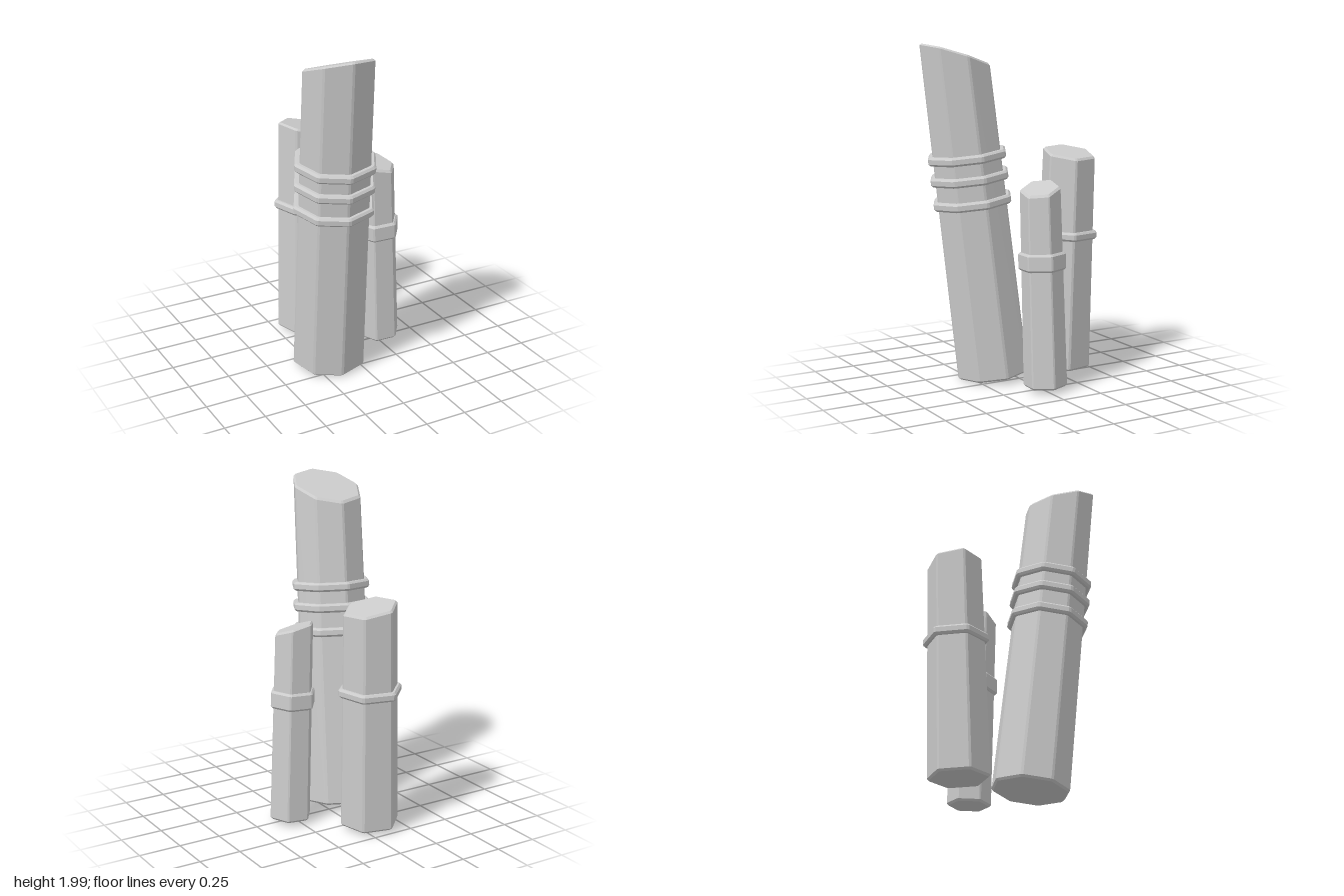
import * as THREE from 'three';

const material = new THREE.MeshStandardMaterial({ color: 0xcccccc, flatShading: true });

// Regular polygon of unit radius (x, z) with each corner narrowly chamfered
function crossSection(sides, turn, chamfer = 0.05) {
  const corner = (k) => {
    const a = THREE.MathUtils.degToRad(turn) + (k * Math.PI * 2) / sides;
    return new THREE.Vector2(Math.cos(a), Math.sin(a));
  };
  const points = [];
  for (let k = 0; k < sides; k++) {
    points.push(corner(k).lerp(corner(k - 1), chamfer), corner(k).lerp(corner(k + 1), chamfer));
  }
  return points;
}

// Closed solid through a stack of rings, capped at both ends
function loft(rings) {
  const n = rings[0].length;
  const positions = [];
  const tri = (...pts) => pts.forEach((p) => positions.push(p.x, p.y, p.z));
  const middle = (ring) => ring.reduce((s, p) => s.add(p), new THREE.Vector3()).divideScalar(n);
  const first = rings[0], last = rings[rings.length - 1];
  const low = middle(first), high = middle(last);
  for (let i = 0; i < n; i++) {
    const j = (i + 1) % n;
    for (let r = 0; r < rings.length - 1; r++) {
      const a = rings[r], b = rings[r + 1];
      tri(a[i], b[i], b[j]);
      tri(a[i], b[j], a[j]);
    }
    tri(low, first[i], first[j]);
    tri(high, last[j], last[i]);
  }
  const geometry = new THREE.BufferGeometry();
  geometry.setAttribute('position', new THREE.Float32BufferAttribute(positions, 3));
  geometry.computeVertexNormals();
  return geometry;
}

// A leaning, tapering cane with a slanted top and raised bands
function cane({ name, sides, turn, base, top, radii, slope, bands, bandRadius, bandHeight }) {
  const group = new THREE.Group();
  group.name = name;
  const from = new THREE.Vector3(...base);
  const to = new THREE.Vector3(...top);
  const axis = to.clone().sub(from).normalize();
  const lean = new THREE.Quaternion().setFromUnitVectors(new THREE.Vector3(0, 1, 0), axis);
  const section = crossSection(sides, turn);

  // Ring square to the axis around a centre point
  const ring = (center, radius) => section.map((p) =>
    new THREE.Vector3(p.x * radius, 0, p.y * radius).applyQuaternion(lean).add(center));
  const along = (point, distance) => point.clone().addScaledVector(axis, distance);

  // Ring slid along the axis onto the slanted cutting plane
  const cutRing = (radius, drop) => ring(to, radius).map((p) => {
    const d = p.clone().sub(to);
    const gap = slope[0] * d.x + slope[1] * d.z - d.y;
    const rate = axis.y - slope[0] * axis.x - slope[1] * axis.z;
    return along(p, gap / rate - drop);
  });

  const add = (partName, rings) => {
    const mesh = new THREE.Mesh(loft(rings), material);
    mesh.name = partName;
    group.add(mesh);
  };

  const bevel = 0.012;
  add('stalk', [
    ring(from, radii[0] - bevel),
    ring(along(from, bevel), radii[0]),
    cutRing(radii[1], bevel),
    cutRing(radii[1] - bevel, 0),
  ]);

  // Bands with bevelled edges
  bands.forEach((y) => {
    const center = from.clone().lerp(to, (y - from.y) / (to.y - from.y));
    const h = bandHeight / 2;
    add('band', [
      ring(along(center, -h), bandRadius - bevel),
      ring(along(center, -h + bevel), bandRadius),
      ring(along(center, h - bevel), bandRadius),
      ring(along(center, h), bandRadius - bevel),
    ]);
  });
  return group;
}

export function createModel() {
  const model = new THREE.Group();
  model.name = 'caneCluster';
  model.add(
    cane({
      name: 'tallCane', sides: 8, turn: 6,
      base: [-0.137, 0.034, 0.103], top: [-0.185, 1.93, 0.32],
      radii: [0.225, 0.208], slope: [0, 0.33],
      bands: [1.08, 1.222, 1.345], bandRadius: 0.244, bandHeight: 0.052,
    }),
    cane({
      name: 'backCane', sides: 6, turn: 15,
      base: [-0.068, 0.035, -0.335], top: [-0.042, 1.347, -0.368],
      radii: [0.177, 0.161], slope: [-0.2, 0.03],
      bands: [0.855], bandRadius: 0.192, bandHeight: 0.052,
    }),
    cane({
      name: 'shortCane', sides: 6, turn: 6,
      base: [0.28, 0.033, -0.012], top: [0.235, 1.187, 0],
      radii: [0.129, 0.119], slope: [-0.2, -0.25],
      bands: [0.767], bandRadius: 0.14, bandHeight: 0.104,
    }),
  );
  return model;
}
